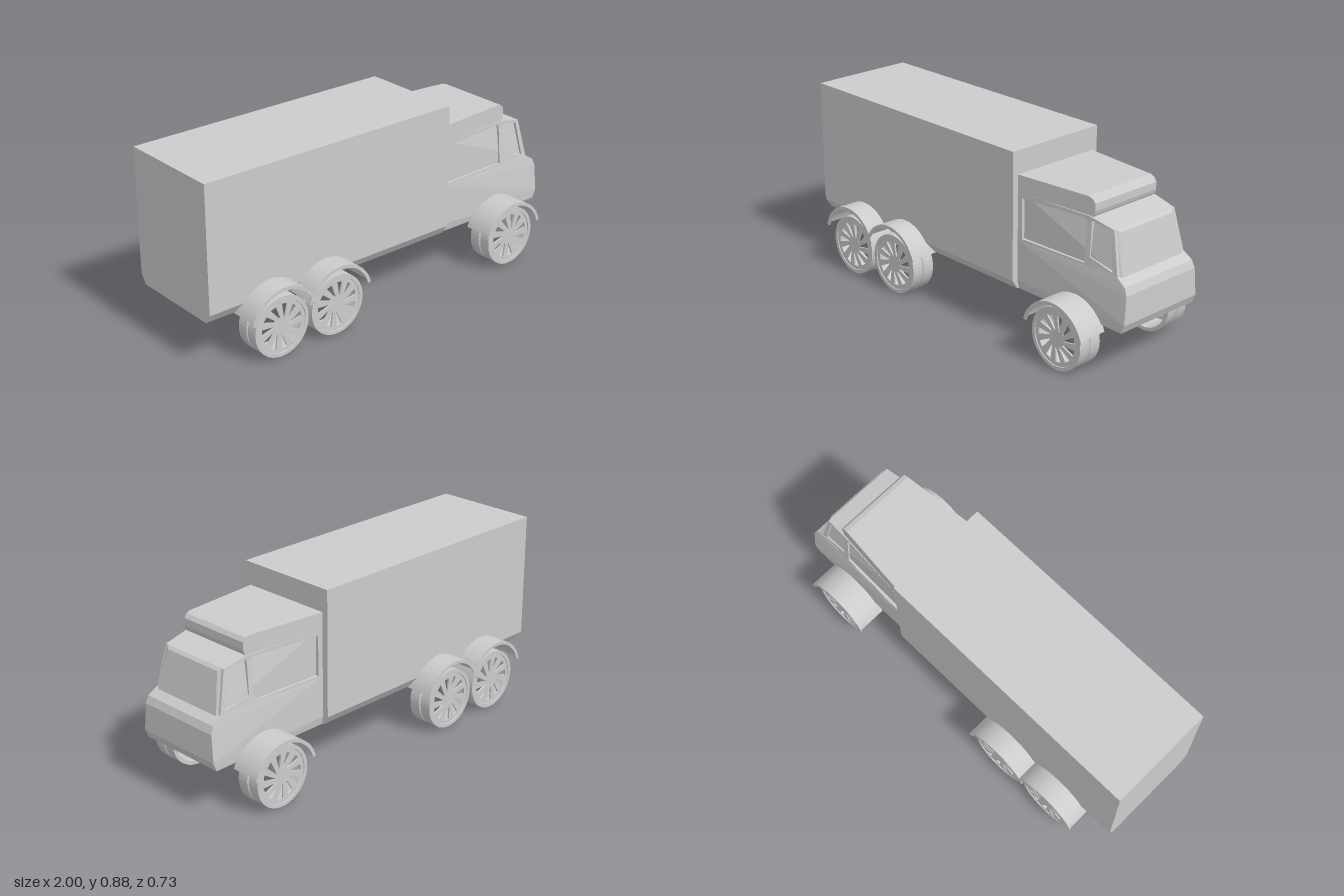
import * as THREE from 'three';
import { ConvexGeometry } from 'three/addons/geometries/ConvexGeometry.js';

const grey = new THREE.MeshStandardMaterial({ color: 0xcccccc, side: THREE.DoubleSide });
const flat = new THREE.MeshStandardMaterial({ color: 0xcccccc, side: THREE.DoubleSide, flatShading: true });

function add(parent, name, geometry, material = grey) {
  const mesh = new THREE.Mesh(geometry, material);
  mesh.name = name;
  parent.add(mesh);
  return mesh;
}

// Solid from [x, y, halfWidth] points, mirrored across z
const hull = (pts) => new ConvexGeometry(pts.flatMap(([x, y, w]) =>
  [new THREE.Vector3(x, y, w), new THREE.Vector3(x, y, -w)]));

const points = (pts) => pts.map(([x, y]) => new THREE.Vector2(x, y));
const polar = (r, a) => new THREE.Vector2(r * Math.cos(a), r * Math.sin(a));

// Half-width of the cab side: it tapers forwards, more so higher up
function cabSide(x, y) {
  const u = (x - 0.36) / 0.56;
  const v = THREE.MathUtils.clamp((y - 0.46) / 0.2, 0, 1);
  return 0.23 - u * (0.02 + 0.025 * v);
}

// Door and pillar skin with two window openings
function sideFrame() {
  const shape = new THREE.Shape(points([[0.36, 0.44], [0.935, 0.46], [0.89, 0.658], [0.76, 0.685], [0.36, 0.69]]));
  shape.holes.push(
    new THREE.Path(points([[0.385, 0.475], [0.385, 0.665], [0.735, 0.672], [0.748, 0.66], [0.748, 0.475]])),
    new THREE.Path(points([[0.775, 0.51], [0.772, 0.668], [0.872, 0.648], [0.905, 0.478]])));
  const depth = 0.022;
  const g = new THREE.ExtrudeGeometry(shape, { depth, bevelEnabled: false });
  const p = g.attributes.position;
  for (let i = 0; i < p.count; i++) p.setZ(i, p.getZ(i) - depth + cabSide(p.getX(i), p.getY(i)));
  g.computeVertexNormals();
  return g;
}

function makeCab() {
  const cab = new THREE.Group();
  cab.name = 'cab';
  add(cab, 'cabLowerBody', hull([
    [0.36, 0.23, 0.222], [0.36, 0.27, 0.23], [0.36, 0.465, 0.23],
    [0.98, 0.23, 0.226], [0.997, 0.27, 0.228], [0.994, 0.4, 0.217],
    [0.98, 0.435, 0.213], [0.935, 0.465, 0.21],
  ]), flat);
  // Recessed side glass, windscreen with bevelled corners, and sloping top
  add(cab, 'glassAndWindscreen', hull([
    [0.37, 0.45, 0.215], [0.37, 0.69, 0.215], [0.76, 0.686, 0.18],
    [0.89, 0.658, 0.173], [0.93, 0.46, 0.198],
    [0.903, 0.645, 0.16], [0.942, 0.46, 0.19],
  ]), flat);
  for (const s of [1, -1]) {
    add(cab, s > 0 ? 'leftWindowFrame' : 'rightWindowFrame', sideFrame(), flat).scale.z = s;
  }
  // Raised roof, narrowing towards the front
  const roof = [[0.36, 0.67], [0.76, 0.672], [0.776, 0.69], [0.782, 0.71], [0.782, 0.745], [0.768, 0.763], [0.745, 0.77], [0.36, 0.77]];
  add(cab, 'roof', hull(roof.map(([x, y]) => [x, y, 0.23 - 0.04 * (x - 0.36) / 0.42])), flat);
  return cab;
}

// Wheel axis along z, outer face towards +z
function makeWheel() {
  const wheel = new THREE.Group();
  wheel.name = 'wheel';
  const R = 0.145;
  // Hollow tyre with a centre groove
  const tyre = new THREE.LatheGeometry(points([
    [0.128, -0.06], [R, -0.06], [R, -0.006], [R - 0.007, 0], [R, 0.006], [R, 0.06], [0.128, 0.06], [0.125, 0.05], [0.128, -0.06],
  ]), 48).toNonIndexed();
  tyre.deleteAttribute('normal');
  tyre.computeVertexNormals();
  tyre.rotateX(Math.PI / 2);
  add(wheel, 'tyre', tyre);
  // Disc with swirled slots
  const disc = new THREE.Shape();
  disc.absarc(0, 0, 0.13, 0, Math.PI * 2);
  const count = 11;
  for (let i = 0; i < count; i++) {
    const a = (i / count) * Math.PI * 2;
    disc.holes.push(new THREE.Path([polar(0.04, a), polar(0.108, a + 0.12), polar(0.11, a + 0.4), polar(0.045, a + 0.16)]));
  }
  const face = new THREE.ExtrudeGeometry(disc, { depth: 0.008, bevelEnabled: false, curveSegments: 32 });
  face.translate(0, 0, 0.048);
  add(wheel, 'spokedDisc', face);
  return wheel;
}

// Thin arched mudguard with a lip turned down at the outer edge
function makeFender() {
  const fender = new THREE.Group();
  fender.name = 'fender';
  const arch = (outer, inner, a, depth, z) => {
    const s = new THREE.Shape();
    s.absarc(0, 0, outer, a, Math.PI - a, false);
    s.absarc(0, 0, inner, Math.PI - a, a, true);
    const g = new THREE.ExtrudeGeometry(s, { depth, bevelEnabled: false, curveSegments: 24 });
    g.translate(0, 0, z);
    return g;
  };
  add(fender, 'fenderArch', arch(0.18, 0.174, 0.33, 0.145, 0.22));
  add(fender, 'fenderLip', arch(0.18, 0.164, 0.27, 0.006, 0.359));
  return fender;
}

export function createModel() {
  const truck = new THREE.Group();
  truck.name = 'truck';

  // Cargo box with its lower edge chamfered into the chassis
  add(truck, 'cargoBox', hull([
    [-1, 0.23, 0.23], [-1, 0.275, 0.26], [-1, 0.88, 0.26],
    [0.36, 0.23, 0.23], [0.36, 0.275, 0.26], [0.36, 0.88, 0.26],
  ]), flat);
  truck.add(makeCab());

  // Three axles: [x, mudguard centre height]
  for (const s of [1, -1]) {
    const side = new THREE.Group();
    side.name = s > 0 ? 'leftRunningGear' : 'rightRunningGear';
    for (const [x, fy] of [[-0.68, 0.165], [-0.372, 0.165], [0.71, 0.143]]) {
      const wheel = makeWheel();
      wheel.position.set(x, 0.145, 0.28);
      const fender = makeFender();
      fender.position.set(x, fy, 0);
      side.add(wheel, fender);
    }
    side.scale.z = s;
    truck.add(side);
  }
  return truck;
}
